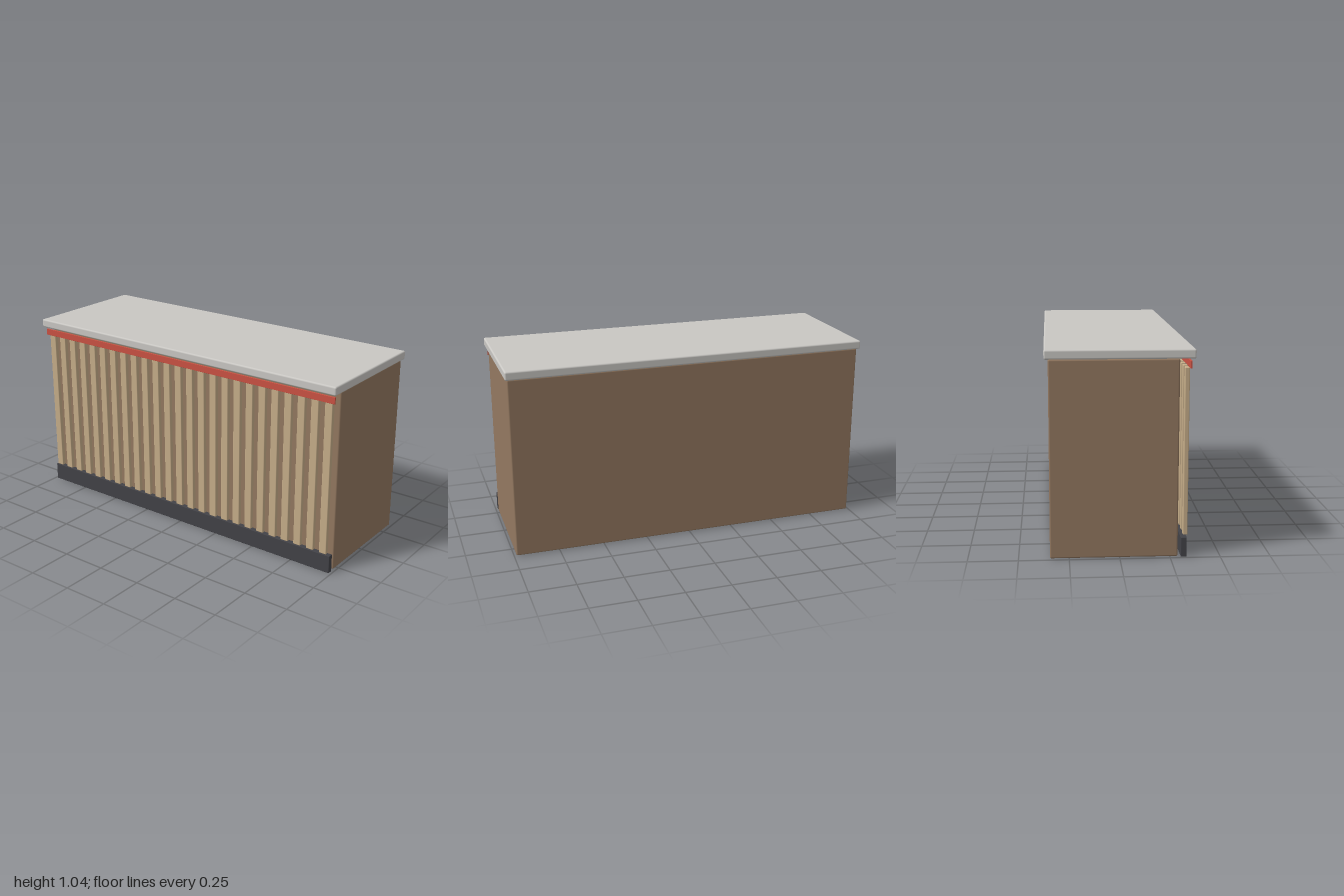
import * as THREE from 'three';
import { RoundedBoxGeometry } from 'three/addons/geometries/RoundedBoxGeometry.js';

const mat = (name, color) => {
  const m = new THREE.MeshStandardMaterial({ color });
  m.name = name;
  return m;
};

// Softly rounded box given by its extents on each axis
function block(name, material, [x0, x1], [y0, y1], [z0, z1], radius) {
  const geo = new RoundedBoxGeometry(x1 - x0, y1 - y0, z1 - z0, 3, radius);
  const mesh = new THREE.Mesh(geo, material);
  mesh.position.set((x0 + x1) / 2, (y0 + y1) / 2, (z0 + z1) / 2);
  mesh.name = name;
  return mesh;
}

export function createModel() {
  const wood = mat('brown wood', 0x937860);
  const paleWood = mat('pale wood', 0xc6ad89);
  const stone = mat('pale grey stone', 0xc9c7c3);
  const charcoal = mat('charcoal', 0x424247);
  const red = mat('red', 0xcb5243);

  const counter = new THREE.Group();
  counter.name = 'counter';

  // Cabinet and overhanging worktop
  counter.add(block('cabinet', wood, [-0.988, 0.988], [0.003, 0.992], [-0.345, 0.288], 0.008));
  counter.add(block('worktop', stone, [-1, 1], [0.993, 1.04], [-0.365, 0.365], 0.009));

  // Kick board and trim strip in front
  counter.add(block('kickBoard', charcoal, [-0.988, 0.988], [0, 0.1], [0.303, 0.332], 0.003));
  counter.add(block('trimStrip', red, [-0.986, 0.986], [0.944, 0.98], [0.338, 0.347], 0.001));

  // Evenly spaced vertical slats
  const slats = new THREE.Group();
  slats.name = 'slats';
  const count = 25, pitch = 0.079, half = 0.0215;
  for (let i = 0; i < count; i++) {
    const x = (i - (count - 1) / 2) * pitch;
    slats.add(block(`slat${i + 1}`, paleWood, [x - half, x + half], [0.107, 0.947], [0.315, 0.338], 0.004));
  }
  counter.add(slats);

  return counter;
}
